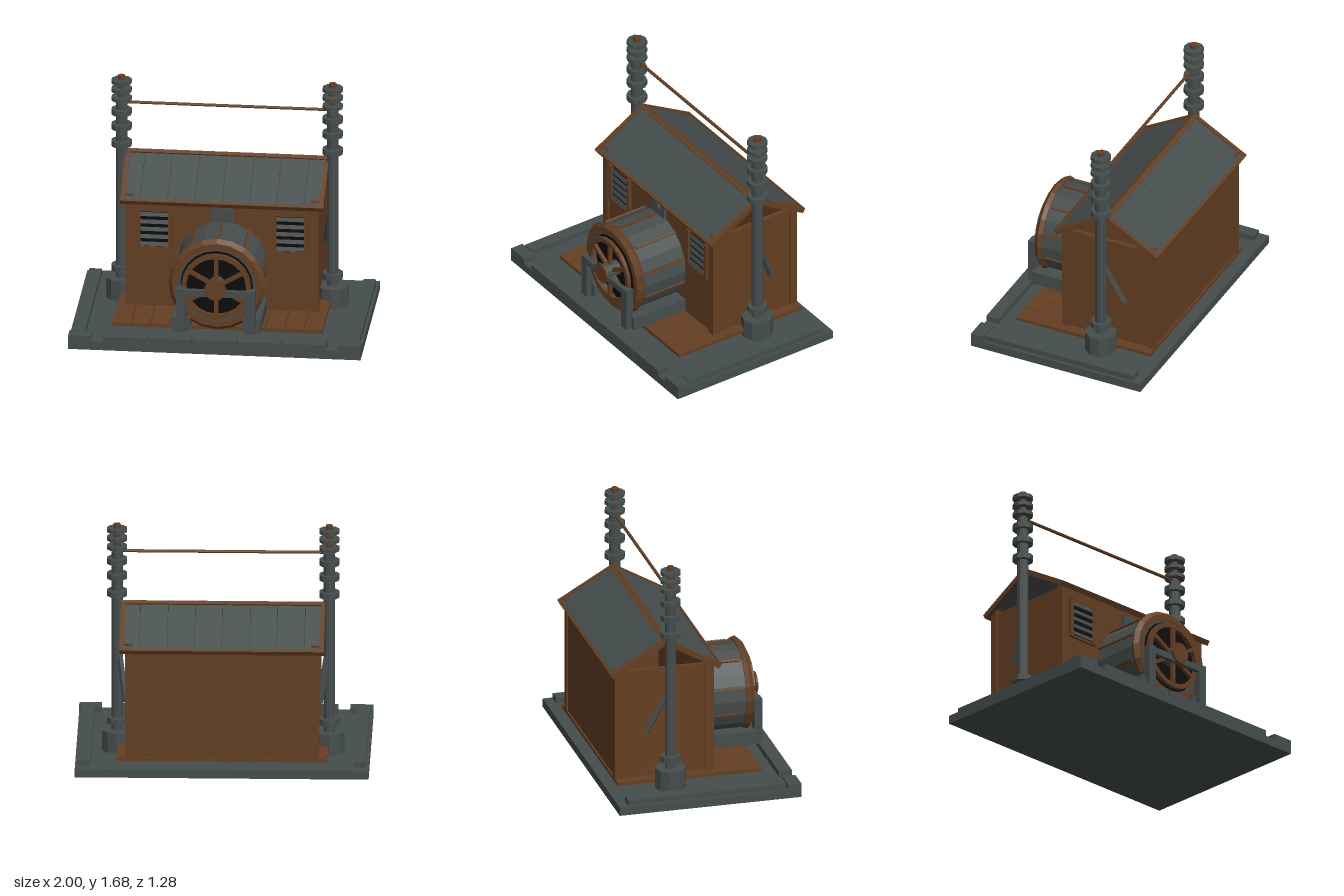
import * as THREE from 'three';

export function createModel() {
  const root = new THREE.Group();
  const mat = (name, color) => {
    const m = new THREE.MeshStandardMaterial({ color });
    m.name = name;
    return m;
  };
  const wood = mat('brown wood', 0x643f22);
  const iron = mat('slate iron', 0x454d4d);
  const black = mat('black interior', 0x0c0c0c);

  // ---- helpers ----
  const add = (parent, name, geo, m) => {
    const mesh = new THREE.Mesh(geo, m);
    mesh.name = name;
    parent.add(mesh);
    return mesh;
  };
  const group = (name, parent = root) => {
    const g = new THREE.Group();
    g.name = name;
    parent.add(g);
    return g;
  };
  const flat = (geo) => {
    const g = geo.index ? geo.toNonIndexed() : geo;
    g.computeVertexNormals();
    return g;
  };
  // box given by its minimum and maximum on each axis
  const box = (parent, name, m, x0, x1, y0, y1, z0, z1) => {
    const mesh = add(parent, name, new THREE.BoxGeometry(x1 - x0, y1 - y0, z1 - z0), m);
    mesh.position.set((x0 + x1) / 2, (y0 + y1) / 2, (z0 + z1) / 2);
    return mesh;
  };
  // mirrored pair of boxes on both sides of x = 0
  const pair = (parent, name, m, x0, x1, y0, y1, z0, z1) => {
    box(parent, name, m, x0, x1, y0, y1, z0, z1);
    box(parent, name, m, -x1, -x0, y0, y1, z0, z1);
  };
  // upright ten-sided cylinder between two heights
  const post = (parent, name, m, r, y0, y1) => {
    const mesh = add(parent, name, flat(new THREE.CylinderGeometry(r, r, y1 - y0, 10)), m);
    mesh.position.y = (y0 + y1) / 2;
  };
  // cylinder along z between two depths
  const disc = (parent, name, m, r, z0, z1, sides = 20) => {
    const geo = flat(new THREE.CylinderGeometry(r, r, z1 - z0, sides).rotateX(Math.PI / 2));
    const mesh = add(parent, name, geo, m);
    mesh.position.z = (z0 + z1) / 2;
    return mesh;
  };
  // ring around z from a closed profile of [radius, z], outside running to +z
  const ring = (parent, name, m, pts, sides = 20) => {
    const v = [...pts, pts[0]].map((p) => new THREE.Vector2(p[0], p[1]));
    return add(parent, name, flat(new THREE.LatheGeometry(v, sides).rotateX(Math.PI / 2)), m);
  };

  // ---- base slab with kerbs ----
  const base = group('base');
  box(base, 'slab', iron, -1, 1, 0, 0.06, -0.64, 0.64);
  pair(base, 'sideKerb', iron, 0.895, 0.98, 0.06, 0.1, -0.575, 0.54);
  pair(base, 'cornerBlock', iron, 0.845, 1, 0.06, 0.1, 0.547, 0.64);
  for (let i = -2; i <= 2; i++)
    box(base, 'frontKerb', iron, i * 0.307 - 0.149, i * 0.307 + 0.149, 0.06, 0.1, 0.547, 0.64);

  // ---- plank deck ----
  const deck = group('deck');
  for (let i = -5; i <= 5; i++)
    box(deck, 'plank', wood, i * 0.131 - 0.063, i * 0.131 + 0.063, 0.1, 0.124, -0.58, 0.435);

  // ---- house walls ----
  const house = group('house');
  box(house, 'frontWall', wood, -0.62, 0.62, 0.12, 0.905, 0.07, 0.1);
  box(house, 'backWall', wood, -0.62, 0.62, 0.12, 0.905, -0.568, -0.54);
  pair(house, 'sideWall', wood, 0.615, 0.645, 0.12, 0.905, -0.54, 0.07);
  pair(house, 'frontCornerPost', wood, 0.605, 0.66, 0.12, 0.93, 0.06, 0.116);
  pair(house, 'backCornerPost', wood, 0.605, 0.66, 0.12, 0.93, -0.58, -0.525);

  // ---- gable roof, two equal slopes ----
  const roof = group('roof');
  roof.position.set(0, 1.134, -0.23);
  for (const turn of [0, Math.PI]) {
    const side = group('roofSide', roof);
    side.rotation.y = turn;
    const slope = group('slope', side);
    slope.rotation.x = Math.PI / 6;
    const seams = [-0.667, -0.56, -0.373, -0.187, 0, 0.187, 0.373, 0.56, 0.667];
    for (let i = 0; i < 8; i++)
      box(slope, 'roofPanel', iron, seams[i] + 0.0015, seams[i + 1] - 0.0015, -0.03, -0.008, 0.01, 0.435);
    pair(slope, 'rakeBoard', wood, 0.665, 0.695, -0.036, 0, 0, 0.45);
    pair(slope, 'cornerCleat', wood, 0.61, 0.67, -0.01, -0.002, 0.38, 0.392);
    box(slope, 'eaveBoard', wood, -0.695, 0.695, -0.036, 0, 0.43, 0.452);
    box(slope, 'ridgeBoard', wood, -0.695, 0.695, -0.03, 0.002, -0.002, 0.028);
  }

  // ---- louvred vents ----
  for (const s of [-1, 1]) {
    const vent = group('vent');
    vent.position.set(s * 0.465, 0.69, 0.1);
    box(vent, 'ventBack', black, -0.095, 0.095, -0.13, 0.12, 0, 0.006);
    pair(vent, 'ventFrame', wood, 0.094, 0.122, -0.145, 0.14, 0, 0.022);
    box(vent, 'ventSill', wood, -0.094, 0.094, -0.145, -0.13, 0, 0.018);
    for (let i = -2; i <= 2; i++) {
      const slat = box(vent, 'slat', iron, -0.094, 0.094, -0.014, 0.014, 0, 0.01);
      slat.position.set(0, i * 0.054 - 0.002, 0.012);
      slat.rotation.x = -0.3;
    }
  }

  // ---- wall plate over the drum ----
  const plate = group('wallPlate');
  box(plate, 'plate', iron, -0.08, 0.08, 0.76, 0.865, 0.1, 0.122);
  disc(plate, 'plateBoss', iron, 0.04, 0.12, 0.134, 12).position.y = 0.815;

  // ---- drum with battens, flange and spoked wheel ----
  const drum = group('drum');
  drum.position.y = 0.45;
  disc(drum, 'drumBody', iron, 0.31, 0.1, 0.45);
  for (let i = 0; i < 10; i++) {
    const arm = group('battenArm', drum);
    arm.rotation.z = (i * Math.PI) / 5;
    box(arm, 'batten', wood, -0.009, 0.009, 0.3, 0.32, 0.1, 0.425);
  }
  ring(drum, 'flange', wood, [[0.265, 0.44], [0.318, 0.44], [0.332, 0.468], [0.305, 0.497], [0.265, 0.497]]);
  ring(drum, 'innerRim', iron, [[0.25, 0.44], [0.266, 0.44], [0.266, 0.49], [0.25, 0.49]]);
  disc(drum, 'drumMouth', black, 0.252, 0.448, 0.456);
  ring(drum, 'wheelRim', wood, [[0.205, 0.5], [0.238, 0.5], [0.238, 0.527], [0.205, 0.527]]);
  for (let i = 0; i < 6; i++) {
    const arm = group('spokeArm', drum);
    arm.rotation.z = (i * Math.PI) / 3;
    box(arm, 'spoke', wood, -0.013, 0.013, 0.03, 0.21, 0.502, 0.525);
  }
  disc(drum, 'axle', iron, 0.055, 0.45, 0.577, 12);
  disc(drum, 'hub', wood, 0.075, 0.575, 0.589, 16);

  // ---- cradle carrying the drum ----
  const cradle = group('cradle');
  pair(cradle, 'skidBeam', iron, 0.18, 0.305, 0.122, 0.217, 0.1, 0.522);
  pair(cradle, 'bearingPost', iron, 0.208, 0.27, 0.122, 0.44, 0.508, 0.563);
  box(cradle, 'crossBar', iron, -0.27, 0.27, 0.388, 0.434, 0.53, 0.56);

  // ---- insulator masts ----
  for (const s of [-1, 1]) {
    const mast = group('mast');
    mast.position.set(s * 0.722, 0, -0.207);
    post(mast, 'mastFoot', iron, 0.109, 0.06, 0.204);
    post(mast, 'mastPole', iron, 0.04, 0.1, 1.483);
    post(mast, 'mastRod', wood, 0.025, 1.45, 1.68);
    for (const [y0, y1] of [[0.252, 0.293], [1.165, 1.204], [1.29, 1.328], [1.397, 1.435],
      [1.5, 1.525], [1.563, 1.589], [1.624, 1.65]])
      post(mast, 'collar', iron, 0.071, y0, y1);
    // slanted strut from pole to side wall
    const a = new THREE.Vector3(s * 0.705, 0.74, -0.225);
    const b = new THREE.Vector3(s * 0.66, 0.45, -0.358);
    const d = b.clone().sub(a);
    const strut = add(root, 'strut', new THREE.BoxGeometry(0.03, d.length(), 0.03), iron);
    strut.position.copy(a).add(b).multiplyScalar(0.5);
    strut.quaternion.setFromUnitVectors(new THREE.Vector3(0, 1, 0), d.normalize());
  }
  const cable = add(root, 'cable', flat(new THREE.CylinderGeometry(0.011, 0.011, 1.4, 8).rotateZ(Math.PI / 2)), wood);
  cable.position.set(0, 1.485, -0.207);

  return root;
}
